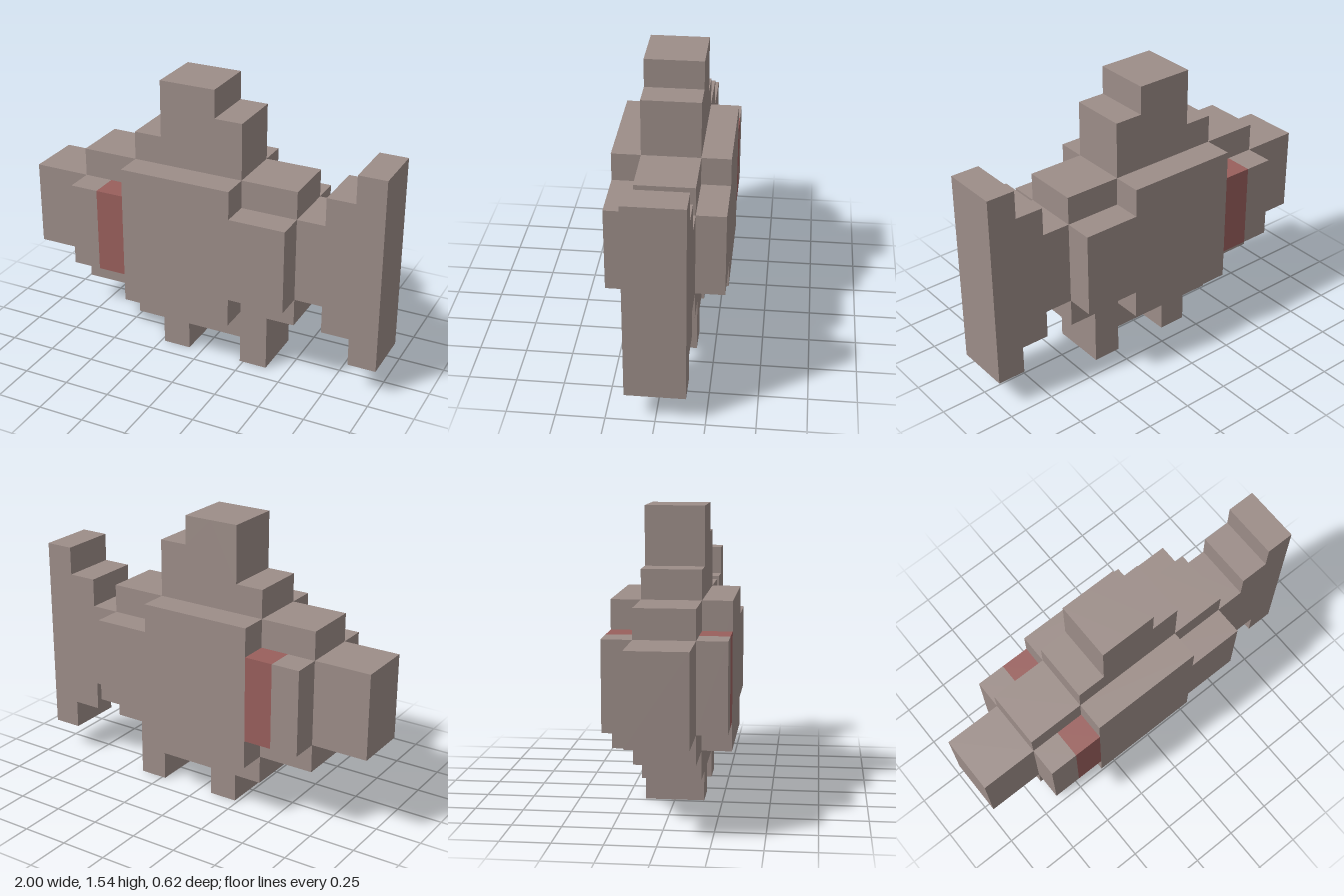
import * as THREE from 'three';

const U = 2 / 13; // one block

// Stepped silhouette from columns [x end, bottom, top], in blocks, extruded between z0 and z1
function steppedSlab(name, xStart, columns, z0, z1, material) {
  const top = [], bottom = [];
  let x = xStart;
  for (const [xEnd, low, high] of columns) {
    bottom.push([x, low], [xEnd, low]);
    top.push([x, high], [xEnd, high]);
    x = xEnd;
  }
  const points = [...bottom, ...top.reverse()].map(([px, py]) => new THREE.Vector2((px - 6.5) * U, py * U));
  const geometry = new THREE.ExtrudeGeometry(new THREE.Shape(points), { depth: (z1 - z0) * U, bevelEnabled: false });
  geometry.translate(0, 0, z0 * U);
  const mesh = new THREE.Mesh(geometry, material);
  mesh.name = name;
  return mesh;
}

export function createModel() {
  const model = new THREE.Group();
  model.name = 'blockFish';
  const skin = new THREE.MeshStandardMaterial({ color: 0x9c8d88 });
  skin.name = 'greyBrown';
  const gill = new THREE.MeshStandardMaterial({ color: 0x995f5c });
  gill.name = 'dullRed';

  // Central slab: snout, head, dorsal fin, lower fins and tail
  model.add(steppedSlab('bodyCore', 0, [
    [2, 3, 6], [4, 2, 7], [5, 1, 8], [6, 0, 10], [7, 1, 10], [8, 1, 9],
    [9, 0, 7], [10, 2, 7], [11, 3, 6], [12, 2, 7], [13, 1, 8],
  ], -1, 1, skin));

  // Thicker flanks on both sides, with a red gill band behind each cheek
  for (const [side, z0] of [['front', 1], ['back', -2]]) {
    model.add(
      steppedSlab(side + 'Cheek', 2, [[3, 3, 6]], z0, z0 + 1, skin),
      steppedSlab(side + 'Gill', 3, [[4, 3, 6]], z0, z0 + 1, gill),
      steppedSlab(side + 'Flank', 4, [[8, 2, 7], [10, 3, 6]], z0, z0 + 1, skin),
    );
  }
  return model;
}
